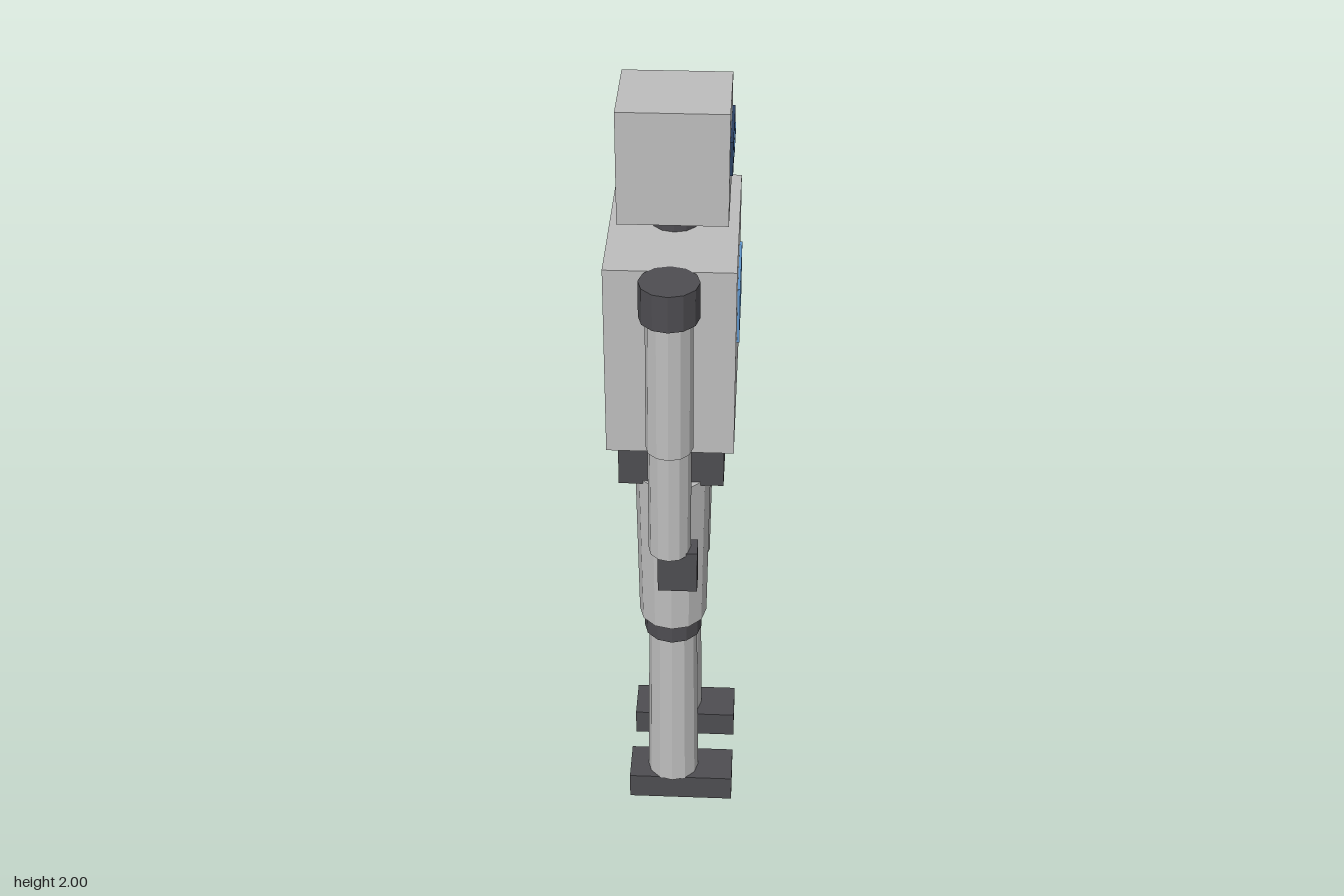
import * as THREE from 'three';

const material = (name, color) => {
  const m = new THREE.MeshStandardMaterial({ color });
  m.name = name;
  return m;
};

export function createModel() {
  const shell = material('light grey shell', 0xbdbdbd);
  const joint = material('dark grey joint', 0x4e4d51);
  const glow = material('blue panel', 0x5f95cb);
  const visorNavy = material('navy visor', 0x2a3f5f);

  const model = new THREE.Group();
  model.name = 'robot';
  const axis = -0.006; // x of the body's vertical axis

  const add = (parent, name, geometry, mat, x, y, z) => {
    const mesh = new THREE.Mesh(geometry, mat);
    mesh.name = name;
    mesh.position.set(x, y, z);
    parent.add(mesh);
  };
  // Box given by its extents
  const box = (parent, name, mat, [x0, x1], [y0, y1], [z0, z1]) =>
    add(parent, name, new THREE.BoxGeometry(x1 - x0, y1 - y0, z1 - z0), mat,
      (x0 + x1) / 2, (y0 + y1) / 2, (z0 + z1) / 2);
  // Faceted upright tube between two heights
  const tube = (parent, name, mat, rTop, rBottom, [y0, y1], z) => {
    const round = new THREE.CylinderGeometry(rTop, rBottom, y1 - y0, 12);
    const faceted = round.toNonIndexed();
    faceted.computeVertexNormals();
    add(parent, name, faceted, mat, axis, (y0 + y1) / 2, z);
  };

  // Head with visor and light strip
  box(model, 'head', shell, [-0.135, 0.121], [1.725, 2], [-0.117, 0.116]);
  box(model, 'visor', visorNavy, [0.12, 0.128], [1.844, 1.926], [-0.1, 0.1]);
  box(model, 'visorLight', glow, [0.126, 0.13], [1.876, 1.898], [-0.069, 0.069]);
  tube(model, 'neck', joint, 0.057, 0.057, [1.67, 1.73], 0);

  // Body
  box(model, 'torso', shell, [-0.159, 0.144], [1.19, 1.677], [-0.245, 0.244]);
  box(model, 'chestPanel', glow, [0.142, 0.15], [1.42, 1.563], [-0.116, 0.116]);
  box(model, 'pelvis', joint, [-0.136, 0.12], [1.053, 1.19], [-0.185, 0.185]);

  for (const side of [1, -1]) {
    // Arm
    const arm = new THREE.Group();
    arm.name = side > 0 ? 'armPlusZ' : 'armMinusZ';
    const armZ = side * 0.291;
    tube(arm, 'shoulder', joint, 0.07, 0.07, [1.587, 1.678], armZ);
    tube(arm, 'upperArm', shell, 0.055, 0.056, [1.235, 1.6], armZ);
    tube(arm, 'forearm', shell, 0.052, 0.051, [0.937, 1.235], armZ);
    box(arm, 'hand', joint, [-0.034, 0.062], [0.83, 0.945], [armZ - 0.029, armZ + 0.029]);
    model.add(arm);

    // Leg
    const leg = new THREE.Group();
    leg.name = side > 0 ? 'legPlusZ' : 'legMinusZ';
    const legZ = side * 0.128;
    tube(leg, 'thigh', shell, 0.093, 0.086, [0.62, 1.062], legZ);
    tube(leg, 'knee', joint, 0.074, 0.074, [0.565, 0.622], legZ);
    tube(leg, 'shin', shell, 0.062, 0.068, [0.073, 0.567], legZ);
    box(leg, 'foot', joint, [-0.122, 0.155], [0, 0.074], [legZ - 0.058, legZ + 0.058]);
    model.add(leg);
  }
  return model;
}
